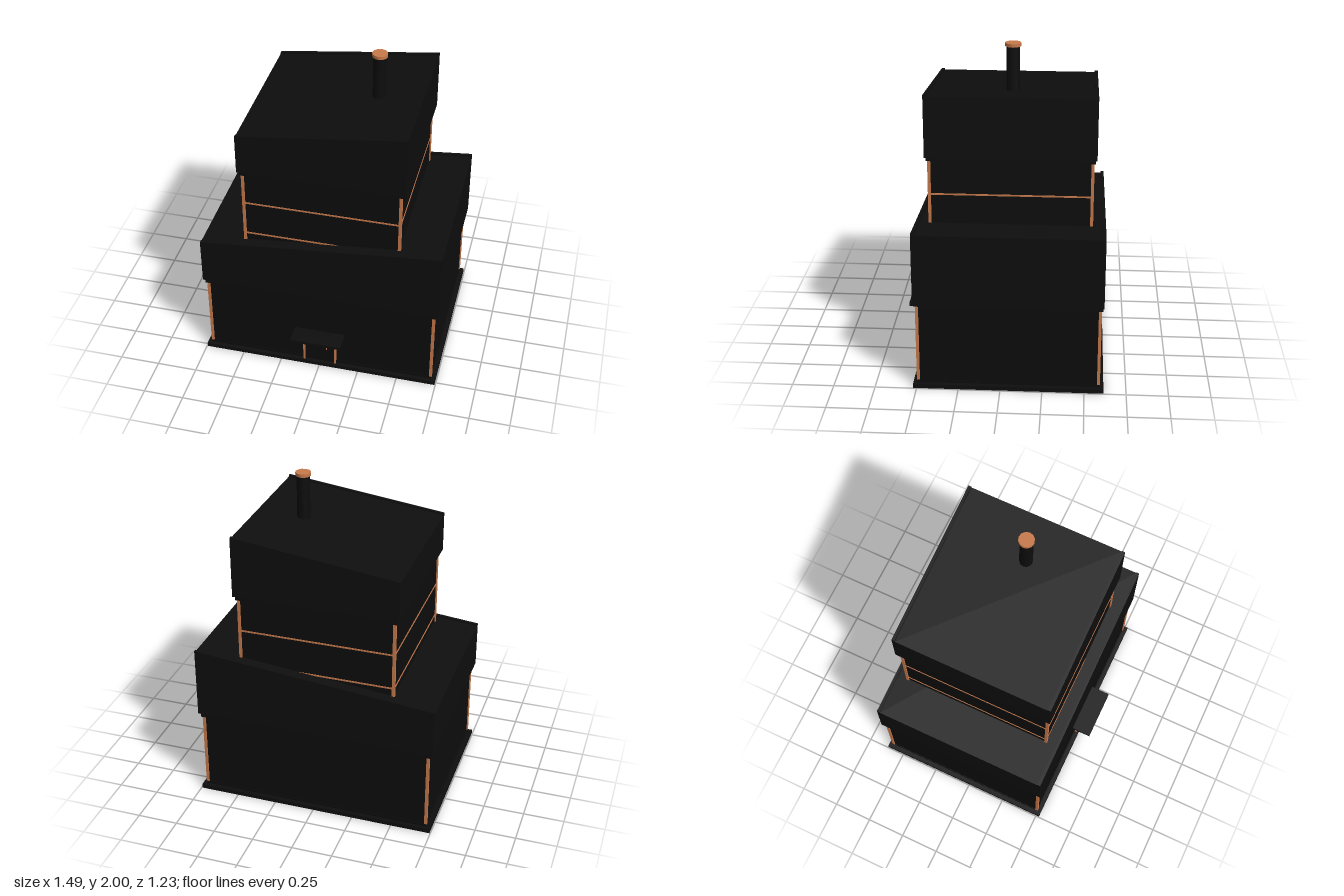
import * as THREE from 'three';

const mat = (name, color) => new THREE.MeshStandardMaterial({ name, color });

export function createModel() {
  const wall = mat('charcoal wall', 0x0d0d0d);
  const roof = mat('black roof', 0x0e0e0e);
  const copper = mat('copper', 0xc87a4c);
  const model = new THREE.Group();
  model.name = 'tieredHouse';
  const CZ = -0.047; // centre line of the building in z

  const add = (name, geo, material, x, y, z, parent = model) => {
    const m = new THREE.Mesh(geo, material);
    m.name = name;
    m.position.set(x, y, z);
    parent.add(m);
    return m;
  };
  // Box given by its size, bottom height and centre
  const box = (name, material, w, h, d, x, y0, z, parent) =>
    add(name, new THREE.BoxGeometry(w, h, d), material, x, y0 + h / 2, z, parent);

  // Slab with a sloping top, extruded along z about its centre
  const wedge = (name, hw, y0, yl, yr, d, z, parent) => {
    const s = new THREE.Shape([
      new THREE.Vector2(-hw, y0), new THREE.Vector2(hw, y0),
      new THREE.Vector2(hw, yr), new THREE.Vector2(-hw, yl),
    ]);
    const g = new THREE.ExtrudeGeometry(s, { depth: d, bevelEnabled: false });
    g.translate(0, 0, -d / 2);
    return add(name, g, roof, 0, 0, z, parent);
  };

  // One storey: walls, corner posts, recessed band, sloping roof with raised front and back edges
  const storey = (name, o) => {
    const g = new THREE.Group();
    g.name = name;
    model.add(g);
    box('walls', wall, o.w, o.capY - o.y0, o.d, 0, o.y0, CZ, g);
    box('band', wall, o.w + 0.03, 0.024, o.d + 0.03, 0, o.capY - 0.024, CZ, g);
    for (const sx of [-1, 1]) for (const sz of [-1, 1])
      box('cornerPost', copper, 0.018, o.capY - 0.024 - o.postY, 0.018,
        sx * (o.w / 2 - 0.002), o.postY, CZ + sz * (o.d / 2 - 0.002), g);
    wedge('roof', o.capW / 2, o.capY, o.yl - 0.01, o.yr - 0.01, o.capD - 0.04, CZ, g);
    for (const sz of [-1, 1])
      wedge('roofEdge', o.capW / 2, o.capY, o.yl, o.yr, 0.02, CZ + sz * (o.capD / 2 - 0.01), g);
    return g;
  };

  // Ground slab and plinth
  box('baseSlab', roof, 1.49, 0.026, 1.136, 0, 0, CZ);
  box('plinth', wall, 1.435, 0.02, 1.085, 0, 0.025, CZ);

  storey('lowerStorey', { w: 1.43, d: 1.08, y0: 0.025, postY: 0.045, capY: 0.558,
    capW: 1.488, capD: 1.12, yl: 0.856, yr: 1.0 });
  const upper = storey('upperStorey', { w: 0.955, d: 0.955, y0: 0.8, postY: 0.8, capY: 1.378,
    capW: 1.012, capD: 1.0, yl: 1.63, yr: 1.757 });

  // Copper lines wrapping the upper walls
  for (const y of [0.918, 1.141])
    box('copperLine', copper, 0.961, 0.01, 0.961, 0, y, CZ, upper);

  // Doorway with frame, handle and canopy
  const door = new THREE.Group();
  door.name = 'entrance';
  model.add(door);
  box('doorPanel', wall, 0.2, 0.205, 0.008, 0, 0.025, 0.494, door);
  for (const sx of [-1, 1])
    box('doorPost', copper, 0.012, 0.21, 0.022, sx * 0.1, 0.026, 0.499, door);
  box('doorLintel', copper, 0.212, 0.012, 0.022, 0, 0.224, 0.499, door);
  box('doorHandle', copper, 0.006, 0.04, 0.01, 0.045, 0.13, 0.502, door);
  box('canopy', roof, 0.32, 0.018, 0.13, 0, 0.252, 0.55, door);

  // Chimney with copper cap
  add('chimney', new THREE.CylinderGeometry(0.04, 0.04, 0.38, 12), wall, 0.235, 1.79, CZ);
  add('chimneyCap', new THREE.CylinderGeometry(0.047, 0.047, 0.02, 12), copper, 0.235, 1.99, CZ);

  return model;
}
